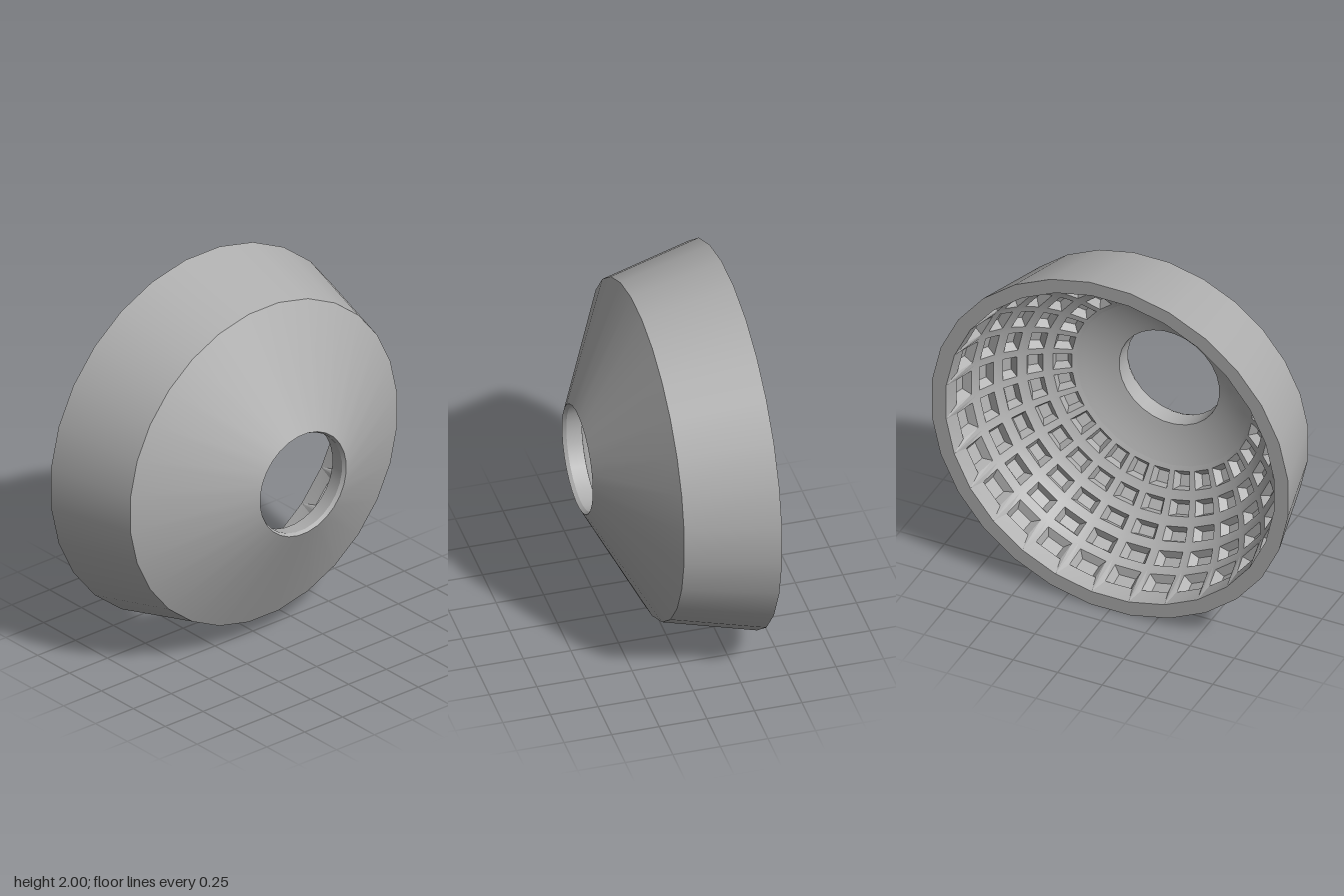
import * as THREE from 'three';
import { toCreasedNormals } from 'three/addons/utils/BufferGeometryUtils.js';

const SIDES = 28;
const HALF = Math.PI / SIDES;
const BACK = -0.395, FRONT = 0.395;
const INNER_R = 0.92, INNER_D = 0.72; // squashed hemisphere inside the shell
const rad = THREE.MathUtils.degToRad;

export function createModel() {
  const model = new THREE.Group();
  model.name = 'cofferedDome';
  const stone = new THREE.MeshStandardMaterial({ color: 0xb0b0b0 });
  stone.name = 'grey stone';

  const add = (name, geometry) => {
    const mesh = new THREE.Mesh(geometry, stone);
    mesh.name = name;
    mesh.position.y = 1;
    model.add(mesh);
  };

  // Ring turned about the z axis from [radius, z] points; flats face the axes
  const ring = (name, profile) => {
    const points = profile.map(([r, z]) => new THREE.Vector2(r / Math.cos(HALF), z));
    add(name, new THREE.LatheGeometry(points, SIDES, HALF, Math.PI * 2).rotateX(Math.PI / 2));
  };

  // Outer shell and oculus
  ring('backRim', [[INNER_R, BACK], [1, BACK]]);
  ring('drumWall', [[1, BACK], [0.88, 0.085]]);
  ring('roofCone', [[0.88, 0.085], [0.283, FRONT]]);
  ring('oculusBevel', [[0.283, FRONT], [0.272, 0.375]]);
  const oculusT = Math.acos(0.28 / INNER_R);
  const oculusZ = BACK + INNER_D * Math.sin(oculusT);
  ring('oculusWall', [[0.272, 0.375], [0.28, oculusZ]]);

  // Smooth band between the oculus and the coffers
  const bandT = rad(58.5), band = [];
  for (let i = 0; i <= 6; i++) {
    const t = THREE.MathUtils.lerp(oculusT, bandT, i / 6);
    band.push([INNER_R * Math.cos(t), BACK + INNER_D * Math.sin(t)]);
  }
  ring('smoothInnerBand', band);

  // Point on the inner surface, pushed outward by depth
  const innerPoint = (centre, a, t, depth) => {
    const n = new THREE.Vector2(Math.cos(t) / INNER_R, Math.sin(t) / INNER_D).normalize();
    const r = (INNER_R * Math.cos(t) + n.x * depth) / Math.cos(a);
    const z = BACK + INNER_D * Math.sin(t) + n.y * depth;
    return [r * Math.sin(centre + a), r * Math.cos(centre + a), z];
  };

  // Coffers: each cell is a rib frame, four sloping walls and a floor
  const cellEdges = [0, 19, 29.5, 39, 48.5, 58.5];
  const openings = [[8, 17], [21, 27.5], [31.5, 37.2], [41, 46.8], [50.3, 56.7]];
  const positions = [];
  const quad = (a, b, c, d) => positions.push(...a, ...b, ...c, ...a, ...c, ...d);

  for (let s = 0; s < SIDES; s++) {
    const corners = (a, t0, t1, depth) =>
      [[-a, t0], [a, t0], [a, t1], [-a, t1]].map(([x, t]) => innerPoint(s * 2 * HALF, x, rad(t), depth));
    openings.forEach(([t0, t1], row) => {
      const inset = (t1 - t0) * 0.2;
      const loops = [
        corners(HALF, cellEdges[row], cellEdges[row + 1], 0),
        corners(HALF * 0.74, t0, t1, 0),
        corners(HALF * 0.45, t0 + inset, t1 - inset, 0.042),
      ];
      for (let l = 0; l < 2; l++) {
        for (let k = 0; k < 4; k++) {
          const n = (k + 1) % 4;
          quad(loops[l][k], loops[l][n], loops[l + 1][n], loops[l + 1][k]);
        }
      }
      quad(...loops[2]);
    });
  }
  const coffers = new THREE.BufferGeometry();
  coffers.setAttribute('position', new THREE.Float32BufferAttribute(positions, 3));
  add('cofferedVault', toCreasedNormals(coffers, 0.3));

  return model;
}
